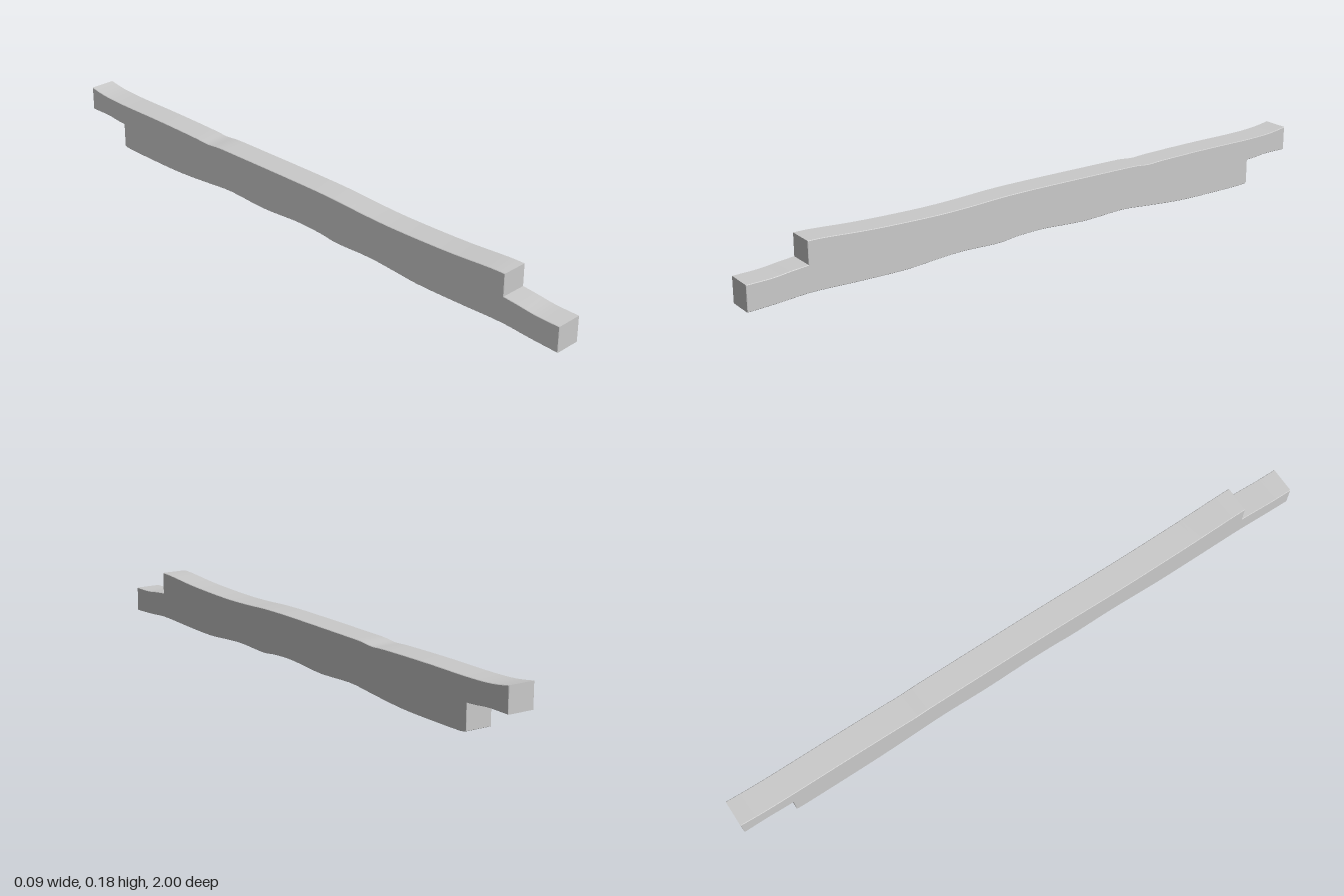
import * as THREE from 'three';
import { toCreasedNormals } from 'three/addons/utils/BufferGeometryUtils.js';

const WIDTH = 0.086, BEVEL = 0.0015;

export function createModel() {
  const group = new THREE.Group();
  group.name = 'notchedBeam';
  const grey = new THREE.MeshStandardMaterial({ color: 0xcacaca });
  grey.name = 'lightGrey';

  // Side profile as [z, y] runs; each run is a smooth wavy edge, corners between runs are sharp
  const runs = [
    // underside, back to front
    [[-0.835, 0.015], [-0.8, 0.009], [-0.6, 0.008], [-0.5, 0.012], [-0.4, 0.02], [-0.3, 0.027], [-0.15, 0.021],
      [0, 0.029], [0.1, 0.026], [0.17, 0.019], [0.3, 0.022], [0.4, 0.016], [0.5, 0.009], [0.65, 0.01],
      [0.8, 0.013], [0.9, 0.006], [1, 0.001]],
    // top of the front tongue
    [[1, 0.082], [0.92, 0.084], [0.86, 0.091], [0.808, 0.096]],
    // upper side, front to back
    [[0.808, 0.167], [0.75, 0.166], [0.6, 0.157], [0.4, 0.153], [0.27, 0.156], [0.15, 0.162], [0, 0.164],
      [-0.3, 0.163], [-0.36, 0.162], [-0.41, 0.158], [-0.47, 0.161], [-0.65, 0.164], [-0.83, 0.164],
      [-0.93, 0.168], [-1, 0.178]],
    // underside of the back tongue
    [[-1, 0.1], [-0.92, 0.1], [-0.87, 0.095], [-0.835, 0.093]],
  ];
  const shape = new THREE.Shape();
  runs.forEach((run, i) => {
    const pts = run.map(([z, y]) => new THREE.Vector2(z, y));
    if (i === 0) shape.moveTo(pts[0].x, pts[0].y);
    else shape.lineTo(pts[0].x, pts[0].y);
    shape.splineThru(pts.slice(1));
  });
  shape.closePath();

  // Extrude across the width with slightly chamfered long edges
  let geometry = new THREE.ExtrudeGeometry(shape, {
    depth: WIDTH - 2 * BEVEL, curveSegments: 3, bevelEnabled: true,
    bevelThickness: BEVEL, bevelSize: BEVEL, bevelOffset: -BEVEL, bevelSegments: 1,
  });
  geometry.translate(0, 0, BEVEL - WIDTH / 2);
  geometry.rotateY(-Math.PI / 2);
  geometry = toCreasedNormals(geometry, 0.4);

  const beam = new THREE.Mesh(geometry, grey);
  beam.name = 'beam';
  group.add(beam);
  return group;
}
